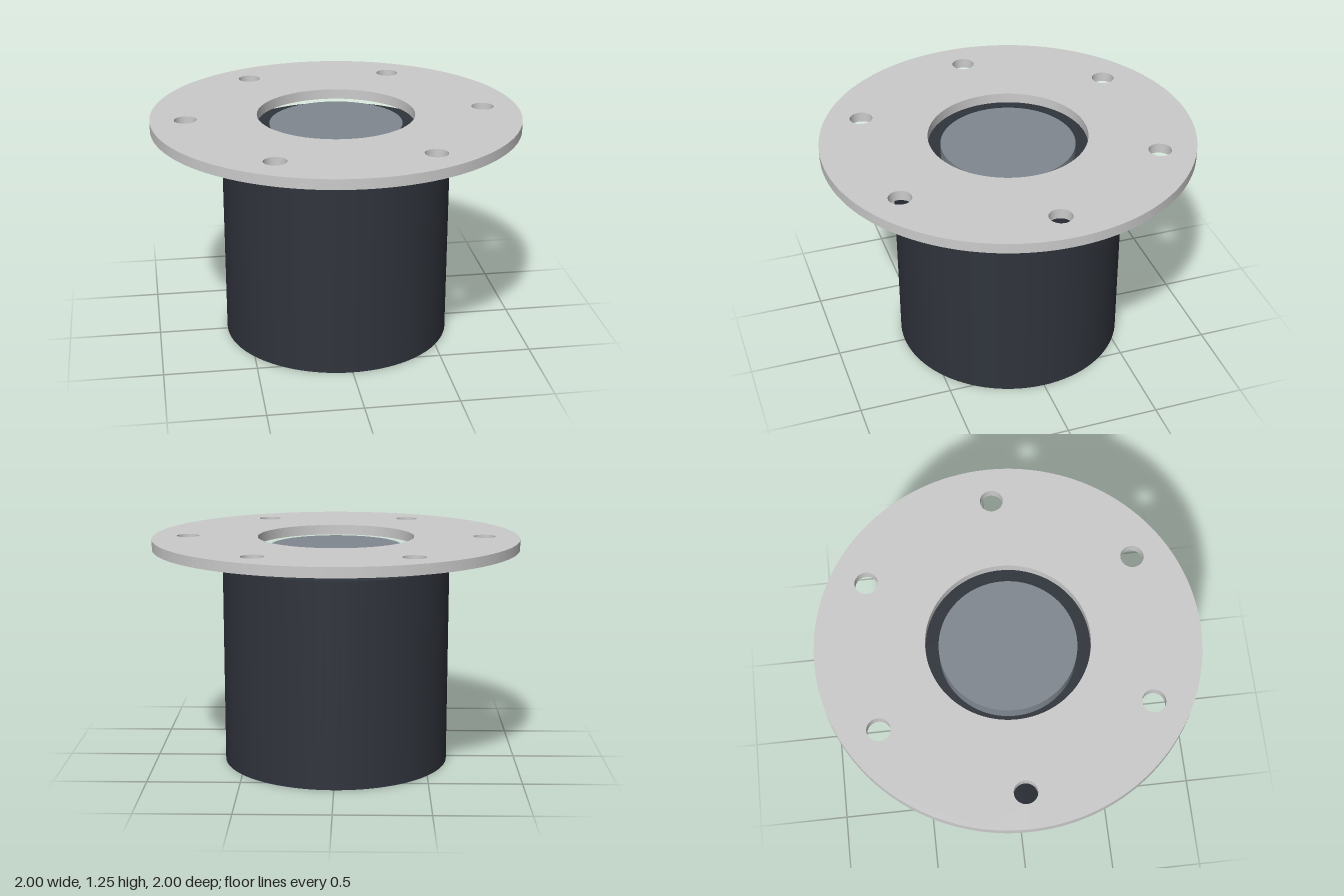
import * as THREE from 'three';

const SEGMENTS = 96;

function addCylinder(group, name, radius, bottom, top, color) {
  const geometry = new THREE.CylinderGeometry(radius, radius, top - bottom, SEGMENTS);
  geometry.translate(0, (bottom + top) / 2, 0);
  const mesh = new THREE.Mesh(geometry, new THREE.MeshStandardMaterial({ color }));
  mesh.name = name;
  group.add(mesh);
}

function circlePath(x, y, radius) {
  return new THREE.Path().absarc(x, y, radius, 0, Math.PI * 2, true);
}

export function createModel() {
  const group = new THREE.Group();
  group.name = 'flangedCylinder';

  // Dark housing and the smaller core rising out of it
  addCylinder(group, 'housing', 0.62, 0, 1.11, 0x30343c);
  addCylinder(group, 'core', 0.36, 1.11, 1.2, 0x808890);

  // Flat mounting ring with a central opening and six bolt holes
  const shape = new THREE.Shape().absarc(0, 0, 1, 0, Math.PI * 2, false);
  shape.holes.push(circlePath(0, 0, 0.427));
  for (let i = 0; i < 6; i++) {
    const angle = (i * Math.PI) / 3;
    shape.holes.push(circlePath(0.81 * Math.cos(angle), 0.81 * Math.sin(angle), 0.061));
  }
  const ringGeometry = new THREE.ExtrudeGeometry(shape, {
    depth: 0.055, bevelEnabled: false, curveSegments: SEGMENTS,
  });
  ringGeometry.rotateX(-Math.PI / 2);
  ringGeometry.translate(0, 1.195, 0);
  const ring = new THREE.Mesh(ringGeometry, new THREE.MeshStandardMaterial({ color: 0xcccccc }));
  ring.name = 'mountingFlange';
  group.add(ring);

  return group;
}
